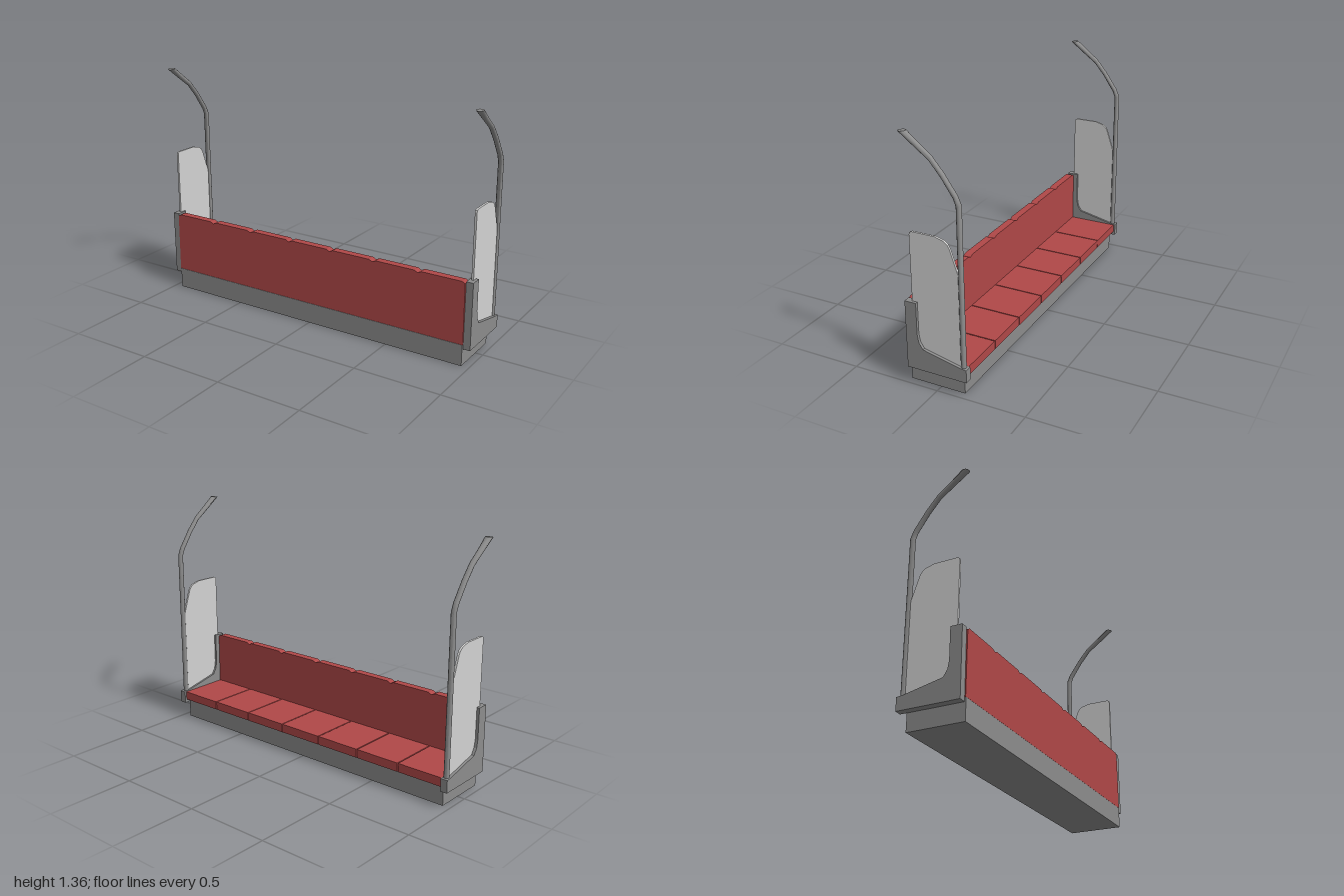
import * as THREE from 'three';
import { toCreasedNormals } from 'three/addons/utils/BufferGeometryUtils.js';

const material = (name, color) => Object.assign(new THREE.MeshStandardMaterial({ color }), { name });

// Extrudes a (z, y) outline into a plate of the given thickness, centred on x = 0
function sidePlate(points, thickness) {
  const shape = new THREE.Shape(points.map(([z, y]) => new THREE.Vector2(z, y)));
  const geo = new THREE.ExtrudeGeometry(shape, { depth: thickness, bevelEnabled: false });
  geo.translate(0, 0, -thickness / 2).rotateY(-Math.PI / 2);
  return geo;
}

// Round pole: each ring is [inner z, inner y, outer z, outer y, half width]
function poleGeometry(rings, sides = 12) {
  const pos = [], index = [];
  for (const [z0, y0, z1, y1, w] of rings) {
    for (let j = 0; j < sides; j++) {
      const a = (j / sides) * Math.PI * 2, s = Math.sin(a) / 2;
      pos.push(Math.cos(a) * w, (y0 + y1) / 2 + (y1 - y0) * s, (z0 + z1) / 2 + (z1 - z0) * s);
    }
  }
  for (let i = 0; i < rings.length - 1; i++) {
    for (let j = 0; j < sides; j++) {
      const k = (j + 1) % sides, a = i * sides, b = a + sides;
      index.push(a + j, a + k, b + k, a + j, b + k, b + j);
    }
  }
  // Flat cap on the tip
  const last = (rings.length - 1) * sides;
  for (let j = 1; j < sides - 1; j++) index.push(last, last + j, last + j + 1);
  const geo = new THREE.BufferGeometry();
  geo.setAttribute('position', new THREE.Float32BufferAttribute(pos, 3));
  geo.setIndex(index);
  return toCreasedNormals(geo, 0.7);
}

export function createModel() {
  const group = new THREE.Group();
  const gray = material('gray metal', 0x8c8c8c);
  const pale = material('pale screen', 0xd2d2d2);
  const red = material('red upholstery', 0xb04848);

  const add = (name, geo, mat, x = 0, y = 0, z = 0) => {
    const mesh = new THREE.Mesh(geo, mat);
    mesh.name = name;
    mesh.position.set(x, y, z);
    group.add(mesh);
  };

  // Plinth under the bench
  add('base', new THREE.BoxGeometry(1.914, 0.12, 0.315), gray, 0, 0.06, 0.018);

  // Row of seat cushions with narrow gaps
  const count = 7, left = -0.96, pitch = 1.92 / count;
  for (let i = 0; i < count; i++) {
    add('seatCushion', new THREE.BoxGeometry(pitch - 0.006, 0.05, 0.3), red,
      left + pitch * (i + 0.5), 0.142, -0.015);
  }

  // Backrest with a shallow notch between seats
  const back = new THREE.Shape();
  back.moveTo(left, 0.121);
  back.lineTo(-left, 0.121);
  for (let i = count - 1; i >= 0; i--) {
    const x0 = left + pitch * i, x1 = x0 + pitch;
    back.lineTo(x1 - 0.003, 0.466);
    back.lineTo(x1 - 0.02, 0.475);
    back.lineTo(x0 + 0.02, 0.475);
    back.lineTo(x0 + 0.003, 0.466);
  }
  back.closePath();
  add('backrest', new THREE.ExtrudeGeometry(back, { depth: 0.044, bevelEnabled: false }), red, 0, 0, 0.131);

  // L-shaped ends, screens and curved poles on both sides
  const endGeo = sidePlate([[0.17, 0.096], [0.17, 0.476], [0.105, 0.476], [0.105, 0.3], [0.097, 0.255],
    [0.075, 0.22], [-0.14, 0.172], [-0.174, 0.168], [-0.174, 0.096]], 0.04);
  const screenGeo = sidePlate([[0.135, 0.16], [0.135, 0.84], [0.132, 0.85], [0.122, 0.856], [-0.01, 0.856],
    [-0.06, 0.842], [-0.078, 0.828], [-0.09, 0.808], [-0.142, 0.655], [-0.142, 0.16]], 0.012);
  const poleGeo = poleGeometry([
    [-0.134, 0.16, -0.163, 0.16, 0.015],
    [-0.132, 1.037, -0.16, 1.04, 0.015],
    [-0.118, 1.072, -0.14, 1.087, 0.015],
    [-0.055, 1.165, -0.07, 1.187, 0.015],
    [0.006, 1.238, -0.006, 1.262, 0.015],
    [0.085, 1.295, 0.066, 1.317, 0.016],
    [0.17, 1.36, 0.128, 1.364, 0.021],
  ]);
  for (const side of [-1, 1]) {
    add('endPanel', endGeo, gray, side * 0.98);
    add('screen', screenGeo, pale, side * 0.978);
    add('pole', poleGeo, gray, side * 0.978);
  }
  return group;
}
